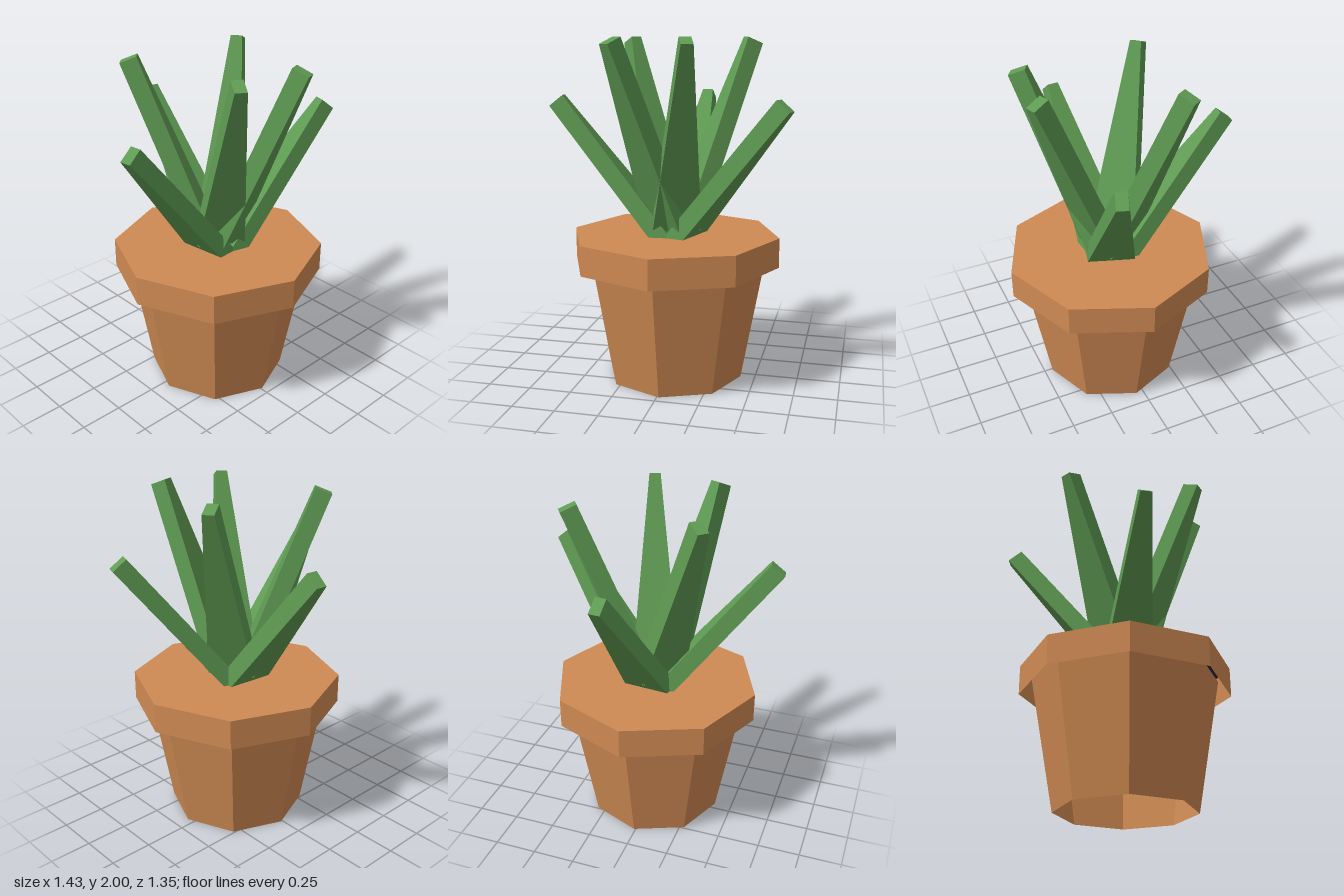
import * as THREE from 'three';

const CX = 0.01, CZ = 0.045; // pot axis

export function createModel() {
  const model = new THREE.Group();
  model.name = 'pottedPlant';

  const mat = (name, color, side = THREE.FrontSide) => {
    const m = new THREE.MeshStandardMaterial({ color, side, flatShading: true });
    m.name = name;
    return m;
  };
  const terracotta = mat('terracotta', 0xcf8a53, THREE.DoubleSide);
  const soilDark = mat('darkSoil', 0x33263a);
  const leafGreen = mat('leafGreen', 0x5f9b53);

  const add = (name, geometry, material, y) => {
    const mesh = new THREE.Mesh(geometry, material);
    mesh.name = name;
    mesh.position.set(CX, y, CZ);
    model.add(mesh);
    return mesh;
  };

  // Eight-sided open pot wall, tucked up inside the rim
  add('potWall', new THREE.CylinderGeometry(0.546, 0.405, 0.78, 8, 1, true), terracotta, 0.39);

  // Rim band with a flat top
  add('potRim', new THREE.CylinderGeometry(0.618, 0.618, 0.175, 8, 1, true), terracotta, 0.7775);
  add('potTop', new THREE.CircleGeometry(0.618, 8).rotateX(-Math.PI / 2), terracotta, 0.865);

  // Dark underside, visible only through the gap below the rim
  add('soilUnderside', new THREE.CircleGeometry(0.612, 8).rotateX(Math.PI / 2), soilDark, 0.855);

  // Leaf: a box of even thickness whose width tapers to the tip.
  // It starts a little way along its axis, measured from the shared root.
  const ROOT_Y = 0.77, THICK = 0.1, BASE_W = 0.315, TIP_W = 0.066;
  const leafGeometry = (start, length) => {
    const g = new THREE.BoxGeometry(1, length - start, THICK);
    g.translate(0, (length + start) / 2, 0);
    const p = g.attributes.position;
    for (let i = 0; i < p.count; i++) {
      const width = THREE.MathUtils.lerp(BASE_W, TIP_W, p.getY(i) / length);
      p.setX(i, p.getX(i) * width);
    }
    g.computeVertexNormals();
    return g;
  };

  // Tall upright leaves and shorter spreading ones, evenly spaced around the pot
  const kinds = {
    tall: { reach: 0.485, rise: 1.212, start: 0.16 },
    low: { reach: 0.69, rise: 0.87, start: 0.03 },
  };
  const order = ['low', 'tall', 'tall', 'low', 'tall', 'low', 'tall'];
  order.forEach((kind, i) => {
    const { reach, rise, start } = kinds[kind];
    const angle = THREE.MathUtils.degToRad(18.5) + (i * Math.PI * 2) / order.length;
    const leaf = add(kind + 'Leaf' + (i + 1), leafGeometry(start, Math.hypot(reach, rise)), leafGreen, ROOT_Y);
    leaf.rotation.order = 'YXZ';
    leaf.rotation.y = Math.PI / 2 - angle;
    leaf.rotation.x = Math.atan2(reach, rise);
  });

  return model;
}
